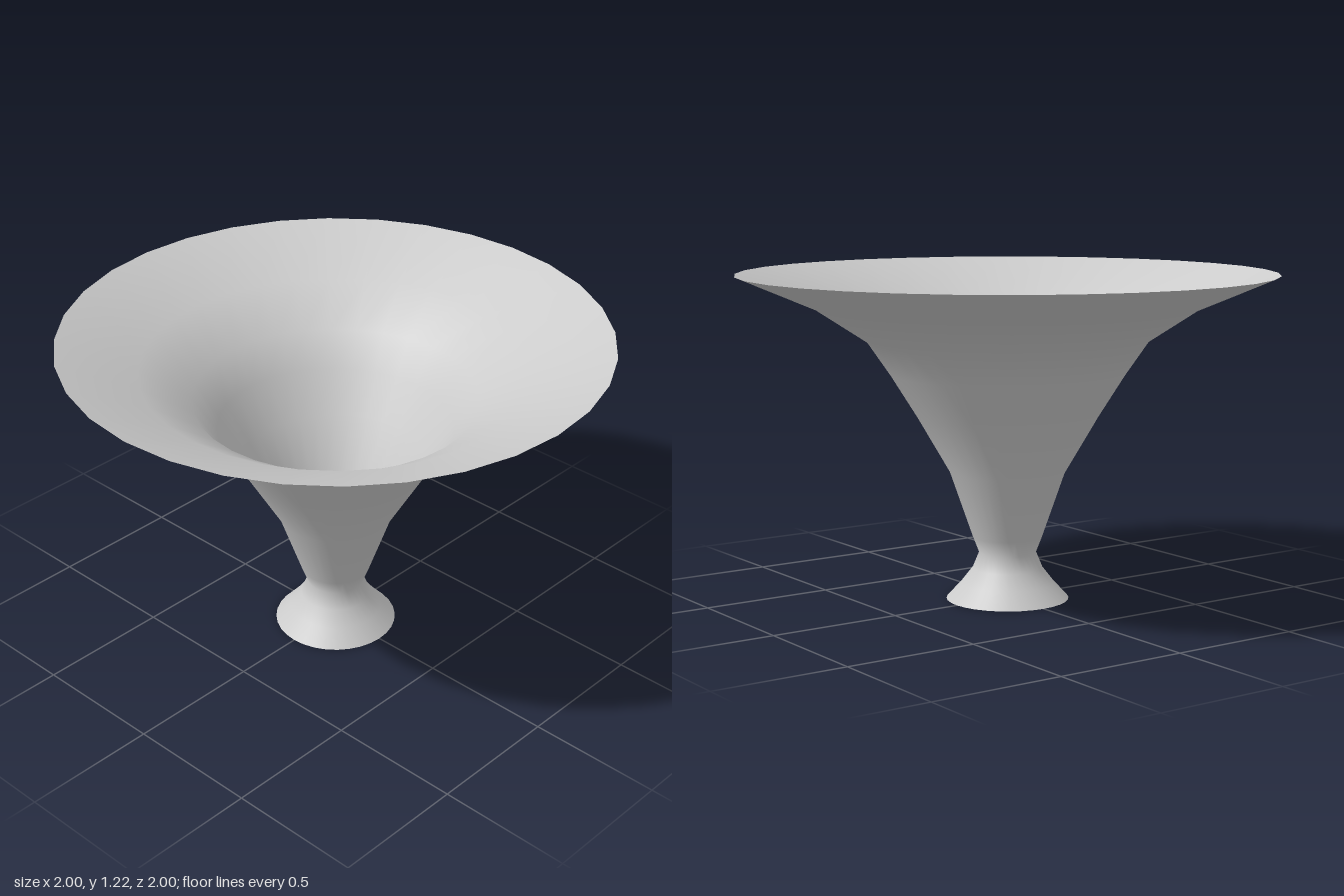
import * as THREE from 'three';

// Thin open shell: flared foot, narrow neck, trumpet-shaped bowl (radius, height)
const PROFILE = [
  [0.23, 0], [0.175, 0.06], [0.132, 0.115], [0.107, 0.176],
  [0.13, 0.235], [0.215, 0.48], [0.34, 0.695], [0.437, 0.85],
  [0.523, 0.975], [0.71, 1.097], [1, 1.22],
];

export function createModel() {
  const group = new THREE.Group();
  group.name = 'funnel';
  const points = PROFILE.map(([r, y]) => new THREE.Vector2(r, y));
  const shell = new THREE.Mesh(
    new THREE.LatheGeometry(points, 32),
    new THREE.MeshStandardMaterial({ color: 0xcccccc, side: THREE.DoubleSide })
  );
  shell.name = 'flaredShell';
  group.add(shell);
  return group;
}
